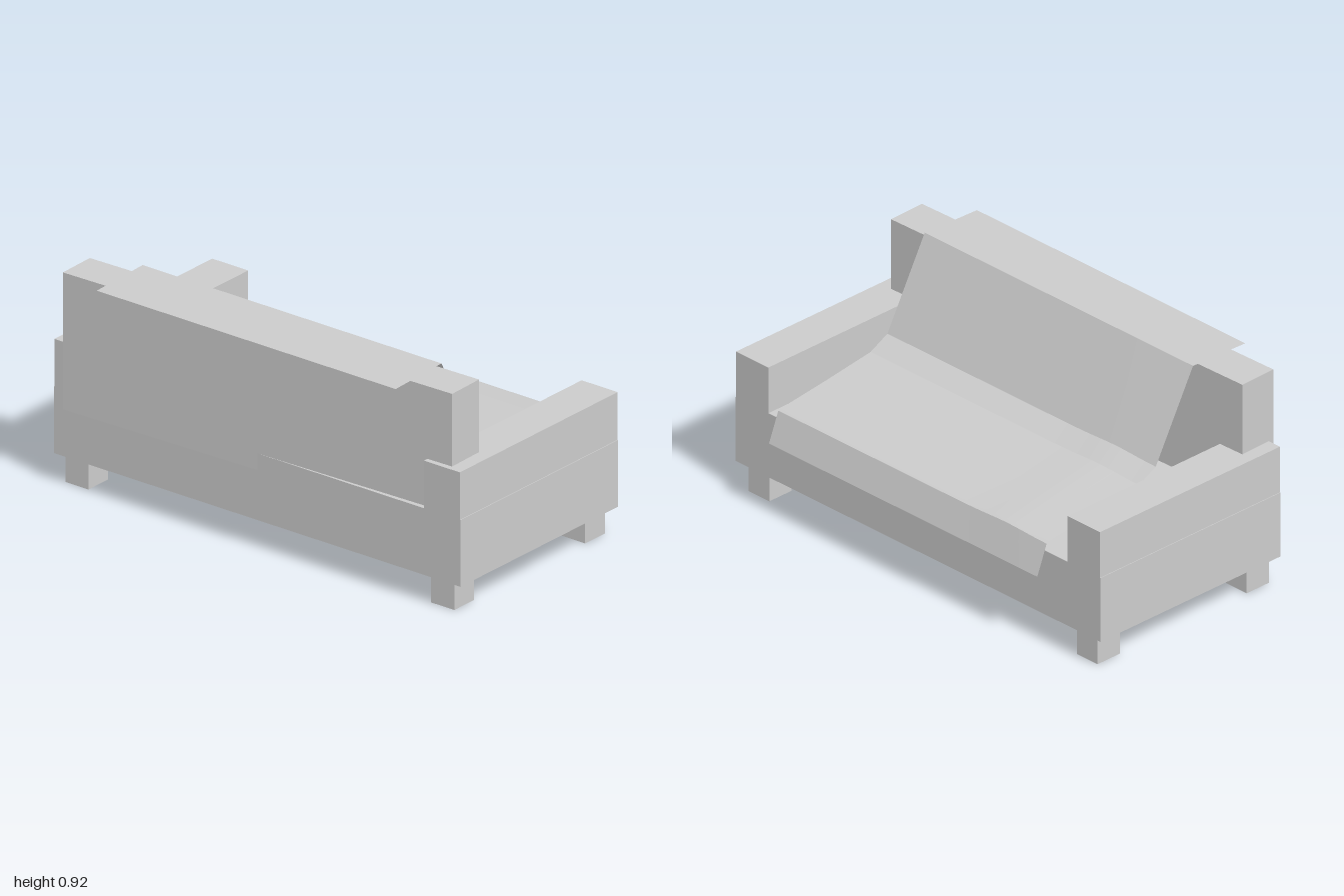
import * as THREE from 'three';
import { toCreasedNormals } from 'three/addons/utils/BufferGeometryUtils.js';

const grey = new THREE.MeshStandardMaterial({ color: 0xcccccc });
const thin = new THREE.MeshStandardMaterial({ color: 0xcccccc, side: THREE.DoubleSide });

// Box given by its extents along each axis
function block(name, [x0, x1], [y0, y1], [z0, z1]) {
  const mesh = new THREE.Mesh(new THREE.BoxGeometry(x1 - x0, y1 - y0, z1 - z0), grey);
  mesh.position.set((x0 + x1) / 2, (y0 + y1) / 2, (z0 + z1) / 2);
  mesh.name = name;
  return mesh;
}

// Thin cover draped over the backrest and seat: a side profile swept along z
function createCover() {
  const profile = [
    [-0.56, 0.91], [-0.28, 0.92], [-0.08, 0.555], [0.01, 0.51],
    [0.25, 0.478], [0.49, 0.45], [0.505, 0.445], [0.555, 0.32],
  ];
  const rows = 32, zBack = -0.72, zFront = 0.75;
  const positions = [], index = [];
  for (let j = 0; j <= rows; j++) {
    const z = zBack + (zFront - zBack) * j / rows;
    // soft swell in the seat near one end
    const swell = 0.007 * Math.exp(-(((z + 0.5) / 0.13) ** 2));
    profile.forEach(([x, y], i) => {
      positions.push(x, y + (i > 1 && i < 7 ? swell : 0), z);
      if (i && j) {
        const d = j * profile.length + i, c = d - 1, b = d - profile.length, a = b - 1;
        index.push(a, c, b, b, c, d);
      }
    });
  }
  const geometry = new THREE.BufferGeometry();
  geometry.setAttribute('position', new THREE.Float32BufferAttribute(positions, 3));
  geometry.setIndex(index);
  const mesh = new THREE.Mesh(toCreasedNormals(geometry, 0.3), thin);
  mesh.name = 'cover';
  return mesh;
}

export function createModel() {
  const sofa = new THREE.Group();
  sofa.name = 'sofa';
  const depth = [-0.475, 0.49];

  // Base and armrests
  sofa.add(block('base', depth, [0.12, 0.4], [-1, 1]));
  sofa.add(block('frontArmrest', depth, [0.4, 0.6], [0.82, 0.997]));
  sofa.add(block('backArmrest', depth, [0.4, 0.6], [-0.997, -0.82]));

  // Backrest, set slightly askew
  const backrest = block('backrest', [-0.475, -0.305], [0.33, 0.905], [-0.938, 0.938]);
  backrest.rotation.y = 0.026;
  sofa.add(backrest);

  // Legs
  for (const x of [[-0.45, -0.33], [0.35, 0.47]])
    for (const z of [[-0.963, -0.85], [0.835, 0.95]])
      sofa.add(block('leg', x, [0, 0.12], z));

  sofa.add(createCover());
  return sofa;
}
